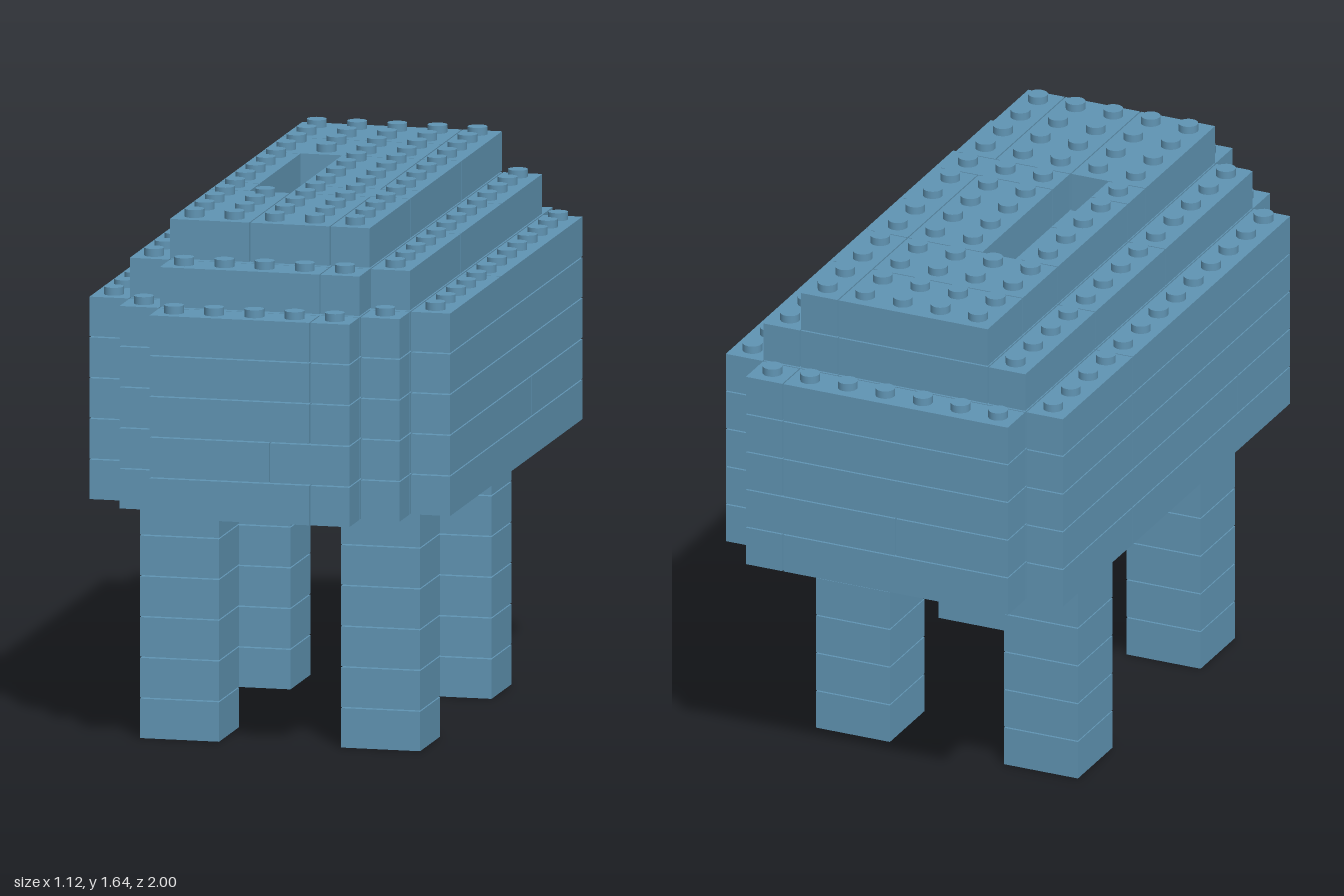
import * as THREE from 'three';

const U = 0.125;   // stud pitch and brick height
const GAP = 0.004; // seam between bricks

export function createModel() {
  const model = new THREE.Group();
  model.name = 'brickAnimal';
  const blue = new THREE.MeshStandardMaterial({ color: 0x6094b3 });
  blue.name = 'dustyBlue';
  const bricks = [];

  // One brick, given in stud units: x range, z range and layer number
  function brick(parent, name, layer, x0, x1, z0, z1) {
    const geo = new THREE.BoxGeometry((x1 - x0) * U - GAP, U - GAP, (z1 - z0) * U - GAP);
    const mesh = new THREE.Mesh(geo, blue);
    mesh.name = name;
    mesh.position.set((x0 + x1) * U / 2, layer * U + (U - GAP) / 2, (z0 + z1) * U / 2);
    parent.add(mesh);
    bricks.push({ layer, x0, x1, z0, z1 });
  }
  function part(name) {
    const g = new THREE.Group();
    g.name = name;
    model.add(g);
    return g;
  }

  // Four legs, six 2x2 bricks each
  for (const [end, z] of [['front', 3], ['back', -4]]) {
    for (const [side, x] of [['Left', 1.5], ['Right', -3.5]]) {
      const leg = part(end + side + 'Leg');
      for (let i = 0; i < 6; i++) brick(leg, 'legBrick', i, x, x + 2, z, z + 2);
    }
  }

  // Body: five layers of the same stepped outline
  const body = part('body');
  for (let layer = 6; layer < 11; layer++) {
    const odd = layer === 7;
    const split = odd ? 0.5 : 1.5;
    const add = (name, ...r) => brick(body, name, layer, ...r);
    add('chestBrick', -2.5, split, 7, 8);
    add('chestBrick', split, 2.5, 7, 8);
    add('shoulderBrick', -3.5, -2.5, 6, 7);
    add('shoulderBrick', -2.5, 2.5, 6, 7);
    add('shoulderBrick', 2.5, 3.5, 6, 7);
    const leftSeam = odd ? -2 : 1, rightSeam = odd ? 3 : -3;
    add('leftFlankBrick', 3.5, 4.5, leftSeam, 6);
    add('leftFlankBrick', 3.5, 4.5, -7, leftSeam);
    add('rightFlankBrick', -4.5, -3.5, rightSeam, 6);
    add('rightFlankBrick', -4.5, -3.5, -7, rightSeam);
    for (const [z0, z1] of [[-7, -3], [-3, 1], [1, 6]]) {
      add('coreBrick', -3.5, 1.5, z0, z1);
      add('coreBrick', 1.5, 3.5, z0, z1);
    }
    add('rumpBrick', -3.5, odd ? -0.5 : 2.5, -8, -7);
    add('rumpBrick', odd ? -0.5 : 2.5, 3.5, -8, -7);
  }

  // Narrower layer on top of the body
  const back = part('lowerBack');
  for (const [z0, z1] of [[-7, -3], [-3, 1], [1, 6]]) {
    brick(back, 'backBrick', 11, -3.5, -2.5, z0, z1);
    brick(back, 'backBrick', 11, -2.5, 1.5, z0, z1);
    brick(back, 'backBrick', 11, 1.5, 2.5, z0, z1);
    brick(back, 'backBrick', 11, 2.5, 3.5, z0, z1);
  }
  brick(back, 'backBrick', 11, -2.5, 1.5, 6, 7);
  brick(back, 'backBrick', 11, 1.5, 2.5, 6, 7);

  // Top layer, leaving a narrow open slot
  const ridge = part('upperBack');
  for (const r of [
    [-2.5, 1.5, -7, -5], [-2.5, 1.5, -5, -3], [1.5, 2.5, -7, -3],
    [-2.5, -1.5, -3, 1], [-0.5, 1.5, -3, 1], [1.5, 2.5, -3, 1],
    [-2.5, -1.5, 1, 2], [-0.5, 2.5, 1, 2],
    [-2.5, -0.5, 2, 6], [-0.5, 1.5, 2, 6], [1.5, 2.5, 2, 6],
  ]) brick(ridge, 'ridgeBrick', 12, ...r);

  // Studs on the highest brick of every column
  const studs = part('studs');
  const studGeo = new THREE.CylinderGeometry(0.03, 0.03, 0.024, 20);
  for (let x = -4; x <= 4; x++) {
    for (let z = -7.5; z < 8; z++) {
      const tops = bricks.filter((b) => x > b.x0 && x < b.x1 && z > b.z0 && z < b.z1);
      if (!tops.length) continue;
      const stud = new THREE.Mesh(studGeo, blue);
      stud.name = 'stud';
      stud.position.set(x * U, (Math.max(...tops.map((b) => b.layer)) + 1) * U + 0.008, z * U);
      studs.add(stud);
    }
  }
  return model;
}
